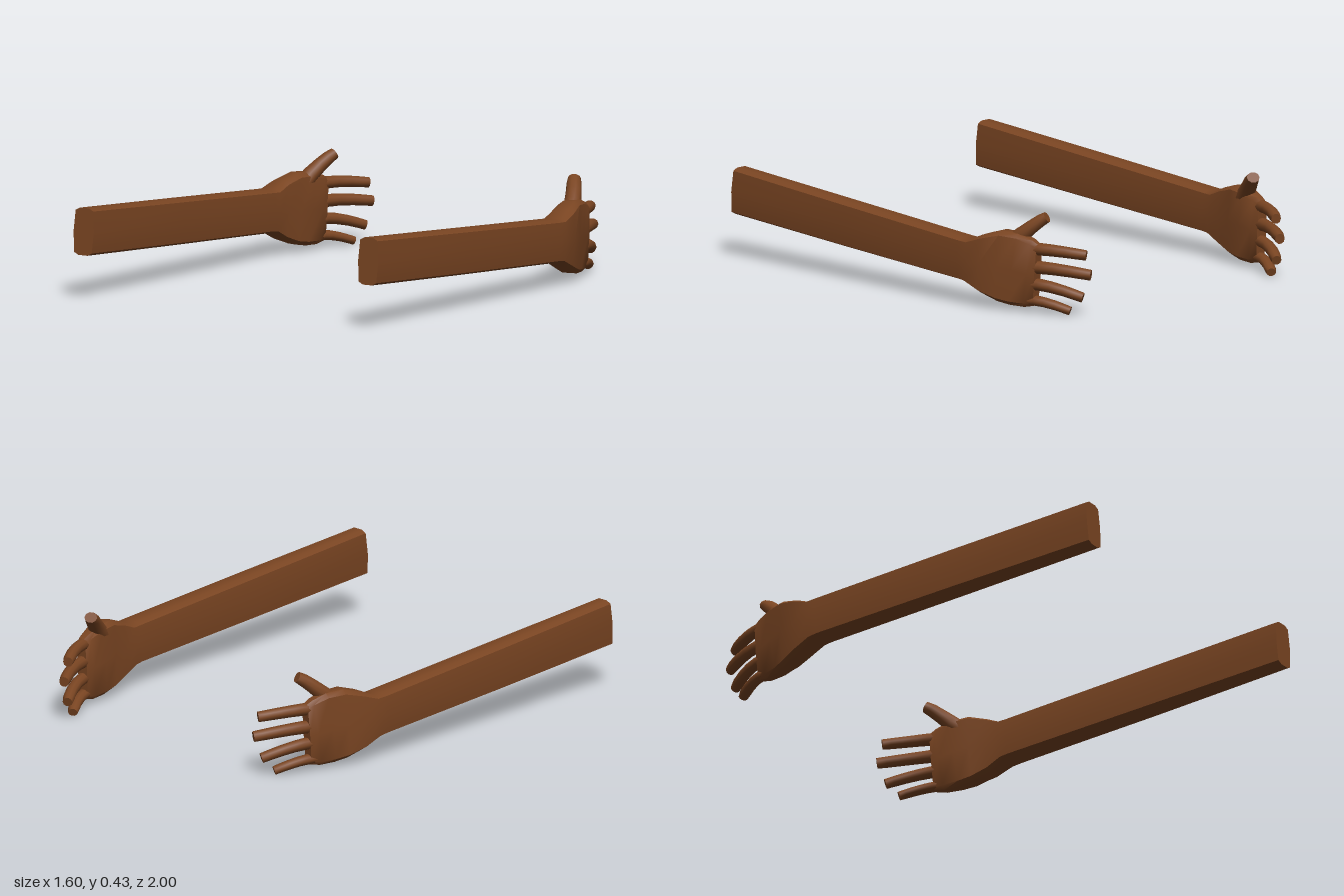
import * as THREE from 'three';
import { toCreasedNormals } from 'three/addons/utils/BufferGeometryUtils.js';

// Unit cross-sections: a tall chamfered block and a rounded finger
const BLOCK = [[1, 0], [0.87, 0.87], [0.45, 0.98], [-0.45, 0.98], [-0.87, 0.87],
  [-1, 0], [-0.87, -0.87], [-0.45, -0.98], [0.45, -0.98], [0.87, -0.87]];
const ROUND = Array.from({ length: 10 }, (_, i) => {
  const a = (i / 10) * Math.PI * 2;
  return [Math.cos(a), Math.sin(a)];
});

// Sweeps a section along stations [x, y, z, halfWidth, halfHeight], capping both ends
function loft(stations, section, side, crease) {
  const centres = stations.map(([x, y, z]) => new THREE.Vector3(x * side, y, z));
  const n = section.length, last = stations.length - 1;
  const pos = [], index = [];
  centres.forEach((c, i) => {
    const t = centres[Math.min(i + 1, last)].clone().sub(centres[Math.max(i - 1, 0)]).normalize();
    const up = new THREE.Vector3(0, 1, 0).addScaledVector(t, -t.y).normalize();
    const across = up.clone().cross(t);
    const [, , , w, h] = stations[i];
    for (const [a, b] of section) {
      const p = c.clone().addScaledVector(across, a * w).addScaledVector(up, b * h);
      pos.push(p.x, p.y, p.z);
    }
  });
  for (let i = 0; i < last; i++) {
    for (let j = 0; j < n; j++) {
      const k = (j + 1) % n, a = i * n, b = a + n;
      index.push(a + j, a + k, b + j, a + k, b + k, b + j);
    }
  }
  for (let j = 1; j < n - 1; j++) {
    index.push(0, j + 1, j);
    index.push(last * n, last * n + j, last * n + j + 1);
  }
  const geo = new THREE.BufferGeometry();
  geo.setAttribute('position', new THREE.Float32BufferAttribute(pos, 3));
  geo.setIndex(index);
  return toCreasedNormals(geo, crease);
}

// Forearm running back into the wrist and the curved palm
const ARM = [
  [0.732, 0.302, 0.992, 0.052, 0.104],
  [0.735, 0.255, 0.3, 0.061, 0.1],
  [0.735, 0.208, -0.4, 0.065, 0.095],
  [0.733, 0.204, -0.44, 0.065, 0.097],
  [0.728, 0.2, -0.51, 0.062, 0.13],
  [0.708, 0.198, -0.59, 0.055, 0.158],
  [0.69, 0.19, -0.66, 0.046, 0.162],
  [0.677, 0.178, -0.73, 0.034, 0.152],
  [0.671, 0.175, -0.768, 0.024, 0.138],
];

// Fingers: [name, base y, tip y, tip z, tip x, half height at base]
const FINGERS = [
  ['indexFinger', 0.284, 0.273, -0.962, 0.568, 0.029],
  ['middleFinger', 0.205, 0.19, -0.988, 0.566, 0.03],
  ['ringFinger', 0.132, 0.089, -0.953, 0.58, 0.028],
  ['littleFinger', 0.06, 0.026, -0.898, 0.602, 0.024],
];

function fingerStations(y0, y1, z1, x1, h) {
  const z0 = -0.7, x0 = 0.686;
  return [0, 0.3, 0.5, 0.72, 0.88, 1].map((s, i) => {
    const inward = 0.35 * s + 0.65 * s * s; // curls toward the palm side
    const y = y0 + (y1 - y0) * s * s + 0.006 * Math.sin(Math.PI * s);
    const w = [0.024, 0.027, 0.026, 0.026, 0.026, 0.021][i];
    return [x0 + (x1 - x0) * inward, y, z0 + (z1 - z0) * s, w, h * (1 - 0.22 * s)];
  });
}

// Thumb rising from the upper edge of the palm
const THUMB = [
  [0.692, 0.285, -0.62, 0.035, 0.04],
  [0.675, 0.335, -0.672, 0.037, 0.036],
  [0.652, 0.375, -0.715, 0.034, 0.031],
  [0.632, 0.403, -0.747, 0.032, 0.028],
  [0.617, 0.42, -0.772, 0.028, 0.024],
];

export function createModel() {
  const model = new THREE.Group();
  model.name = 'pairOfArms';
  const skin = new THREE.MeshStandardMaterial({ color: 0x7a4522 });

  for (const side of [1, -1]) {
    const arm = new THREE.Group();
    arm.name = side > 0 ? 'leftArm' : 'rightArm';
    const add = (name, stations, section, crease) => {
      const mesh = new THREE.Mesh(loft(stations, section, side, crease), skin);
      mesh.name = name;
      arm.add(mesh);
    };
    add('forearmAndPalm', ARM, BLOCK, 0.75);
    for (const [name, ...dims] of FINGERS) add(name, fingerStations(...dims), ROUND, 0.9);
    add('thumb', THUMB, ROUND, 0.9);
    model.add(arm);
  }
  return model;
}
